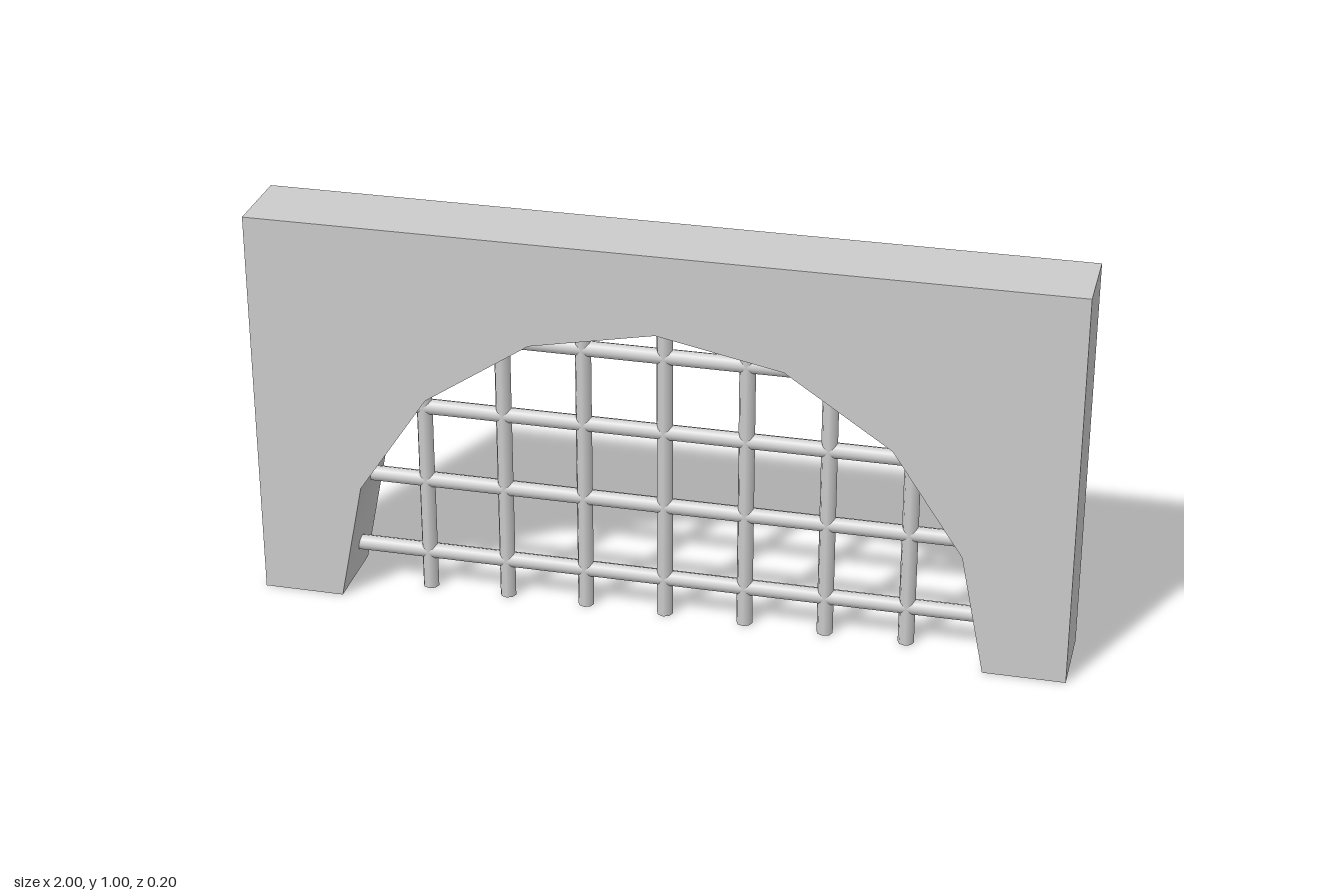
import * as THREE from 'three';
import { toCreasedNormals } from 'three/addons/utils/BufferGeometryUtils.js';

const ARCH = 0.8, DEPTH = 0.2, BAR = 0.02;

export function createModel() {
  const group = new THREE.Group();
  group.name = 'archedGate';
  const material = new THREE.MeshStandardMaterial({ color: 0xcccccc });

  const add = (name, geometry, parent) => {
    const mesh = new THREE.Mesh(geometry, material);
    mesh.name = name;
    parent.add(mesh);
    return mesh;
  };

  // Wall slab with an eight-sided half-round opening
  const outline = [[-1, 0], [-1, 1], [1, 1], [1, 0]].map(([x, y]) => new THREE.Vector2(x, y));
  for (let i = 0; i <= 8; i++) {
    const a = (i / 8) * Math.PI;
    outline.push(new THREE.Vector2(ARCH * Math.cos(a), ARCH * Math.sin(a)));
  }
  const wall = new THREE.ExtrudeGeometry(new THREE.Shape(outline), { depth: DEPTH, bevelEnabled: false });
  wall.translate(0, 0, -DEPTH / 2);
  add('archWall', toCreasedNormals(wall, Math.PI / 6), group);

  // Grille of round bars, each reaching the curve of the opening
  const grille = new THREE.Group();
  grille.name = 'grille';
  group.add(grille);
  const reach = (d) => Math.sqrt(ARCH * ARCH - d * d);

  // Upright bars
  for (let i = -3; i <= 3; i++) {
    const x = i * 0.2, h = reach(x);
    add('verticalBar', new THREE.CylinderGeometry(BAR, BAR, h, 8), grille).position.set(x, h / 2, 0);
  }

  // Cross bars
  for (const y of [0.1, 0.3, 0.5, 0.7]) {
    const bar = add('horizontalBar', new THREE.CylinderGeometry(BAR, BAR, 2 * reach(y), 8), grille);
    bar.rotation.z = Math.PI / 2;
    bar.position.y = y;
  }
  return group;
}
